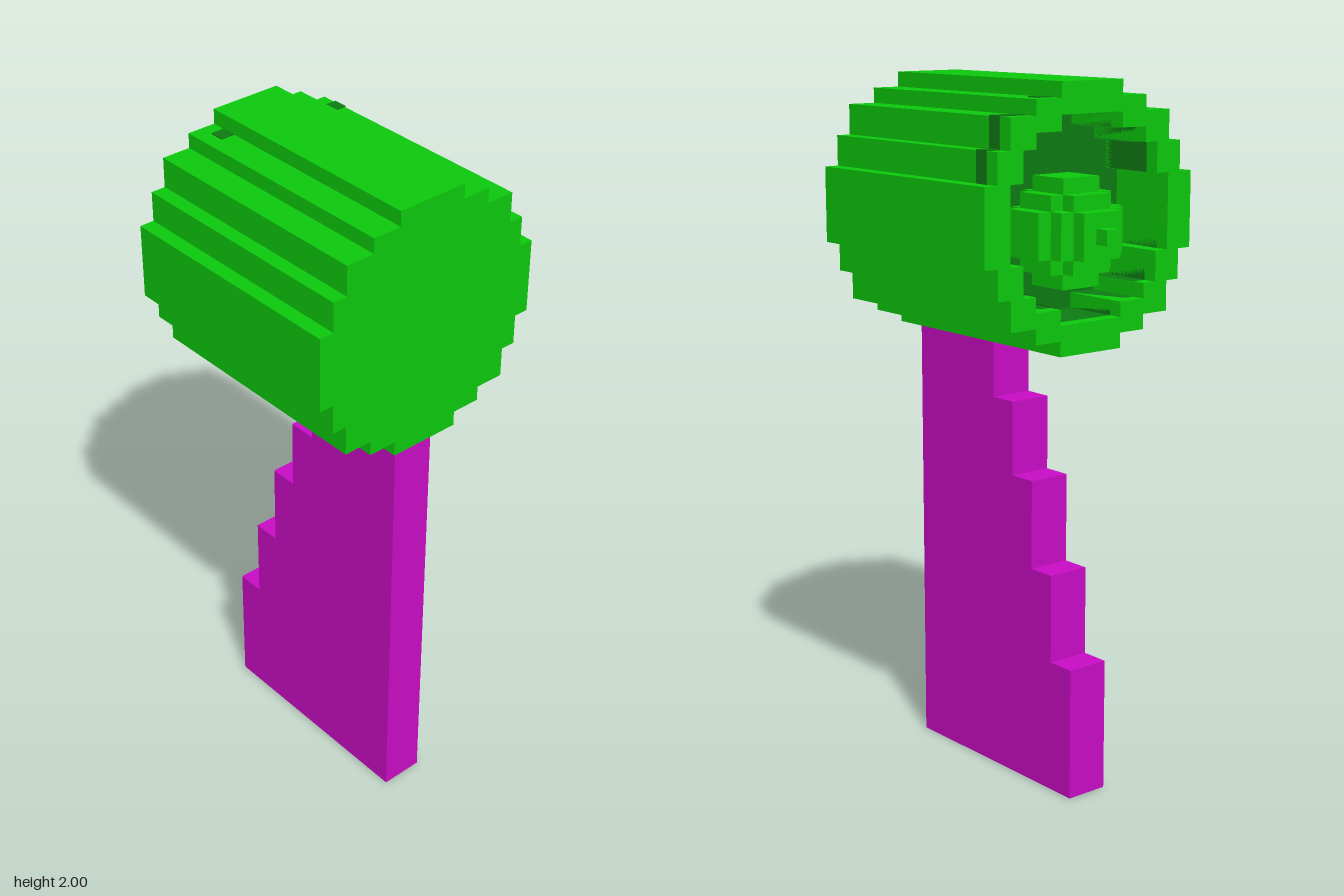
import * as THREE from 'three';

const U = 2 / 47; // one block
const mat = (name, color, side = THREE.FrontSide) => {
  const m = new THREE.MeshStandardMaterial({ color, side });
  m.name = name;
  return m;
};

// Outline of a blocky disc: rows of [half width, height] from the middle row outwards,
// where the first height is half of the middle row.
function steppedPoints(rows, scale = 1) {
  const quarter = [];
  let y = 0;
  for (const [half, h] of rows) {
    if (y > 0) quarter.push([half, y]);
    y += h;
    quarter.push([half, y]);
  }
  const back = [...quarter].reverse();
  return [
    ...quarter,
    ...back.map(([a, b]) => [-a, b]),
    ...quarter.map(([a, b]) => [-a, -b]),
    ...back.map(([a, b]) => [a, -b]),
  ].map(([a, b]) => new THREE.Vector2(a * scale, b * scale));
}

// Extrudes an outline between two z positions, all in blocks
function slab(name, points, z0, z1, cy, material, hole) {
  const shape = new THREE.Shape(points);
  if (hole) shape.holes.push(new THREE.Path(hole));
  const geo = new THREE.ExtrudeGeometry(shape, { depth: z1 - z0, bevelEnabled: false });
  geo.translate(0, cy, z0).scale(U, U, U);
  const mesh = new THREE.Mesh(geo, material);
  mesh.name = name;
  return mesh;
}

function box(name, x0, x1, y0, y1, z0, z1, material) {
  const geo = new THREE.BoxGeometry((x1 - x0) * U, (y1 - y0) * U, (z1 - z0) * U);
  geo.translate((x0 + x1) / 2 * U, (y0 + y1) / 2 * U, (z0 + z1) / 2 * U);
  const mesh = new THREE.Mesh(geo, material);
  mesh.name = name;
  return mesh;
}

export function createModel() {
  const green = mat('green', 0x0dca0d);
  const darkGreen = mat('darkGreen', 0x0d7c12);
  const magenta = mat('magenta', 0xca0dc6);
  const model = new THREE.Group();

  // Barrel: solid front part and hollow rear part
  const CY = 38.5, FRONT = 9.5, FLOOR = -2.5, BACK = -7.5;
  const outer = [[8.5, 2.5], [7.5, 2], [6.5, 2], [4.5, 1], [2.5, 1]];
  const inner = [[6.5, 2.5], [5.5, 2], [4.5, 1], [2.5, 1]];
  const barrel = new THREE.Group();
  barrel.name = 'barrel';
  barrel.add(
    slab('barrelBody', steppedPoints(outer), FLOOR, FRONT, CY, green),
    slab('barrelRim', steppedPoints(outer), BACK, FLOOR, CY, green, steppedPoints(inner)),
    // Dark lining of the hollow
    slab('hollowLining', steppedPoints(inner), FLOOR, BACK + 1, CY, darkGreen, steppedPoints(inner, 0.985)),
    slab('hollowFloor', steppedPoints(inner), FLOOR - 0.1, FLOOR, CY, darkGreen),
  );

  // Dark slots in the outside of the rim
  const e = 0.06;
  barrel.add(
    box('sideSlotUpper', 4.5, 6.5 + e, 43, 45 + e, -6.5, -5.5, darkGreen),
    box('sideSlotLower', 6.5, 7.5 + e, 41, 43 + e, -6.5, -5.5, darkGreen),
  );
  for (const s of [-1, 1]) {
    barrel.add(box('topSlot', s * 3 - 0.5, s * 3 + 0.5, 45.9, 46 + e, -6.5, -5.5, darkGreen));
  }
  model.add(barrel);

  // Stepped bulb inside the hollow, poking out at the back
  const bulb = new THREE.Group();
  bulb.name = 'bulb';
  const small = [[2.5, 1.5], [1.5, 1]];
  const large = [[3.5, 1.5], [2.5, 1], [1.5, 1]];
  const layers = [
    [small, -3.5, -2.5],
    [large, -6.5, -3.5],
    [small, -7.5, -6.5],
    [[[1.5, 1.5]], -8.5, -7.5],
    [[[0.5, 0.5]], -9.5, -8.5],
  ];
  for (const [rows, z0, z1] of layers) {
    bulb.add(slab('bulbLayer', steppedPoints(rows), z0, z1, 37.5, green));
  }
  model.add(bulb);

  // Handle with a stepped rear edge, drawn sideways and turned
  const pts = [[-8.5, 0]];
  let y = 0;
  for (const [s, top] of [[7.5, 9], [5.5, 15], [3.5, 21], [1.5, 26], [-0.5, 30]]) {
    pts.push([s, y], [s, top]);
    y = top;
  }
  pts.push([-8.5, 30]);
  const handle = slab('handle', pts.map(([a, b]) => new THREE.Vector2(a, b)), -1.5, 1.5, 0, magenta);
  handle.geometry.rotateY(Math.PI / 2);
  model.add(handle);

  return model;
}
